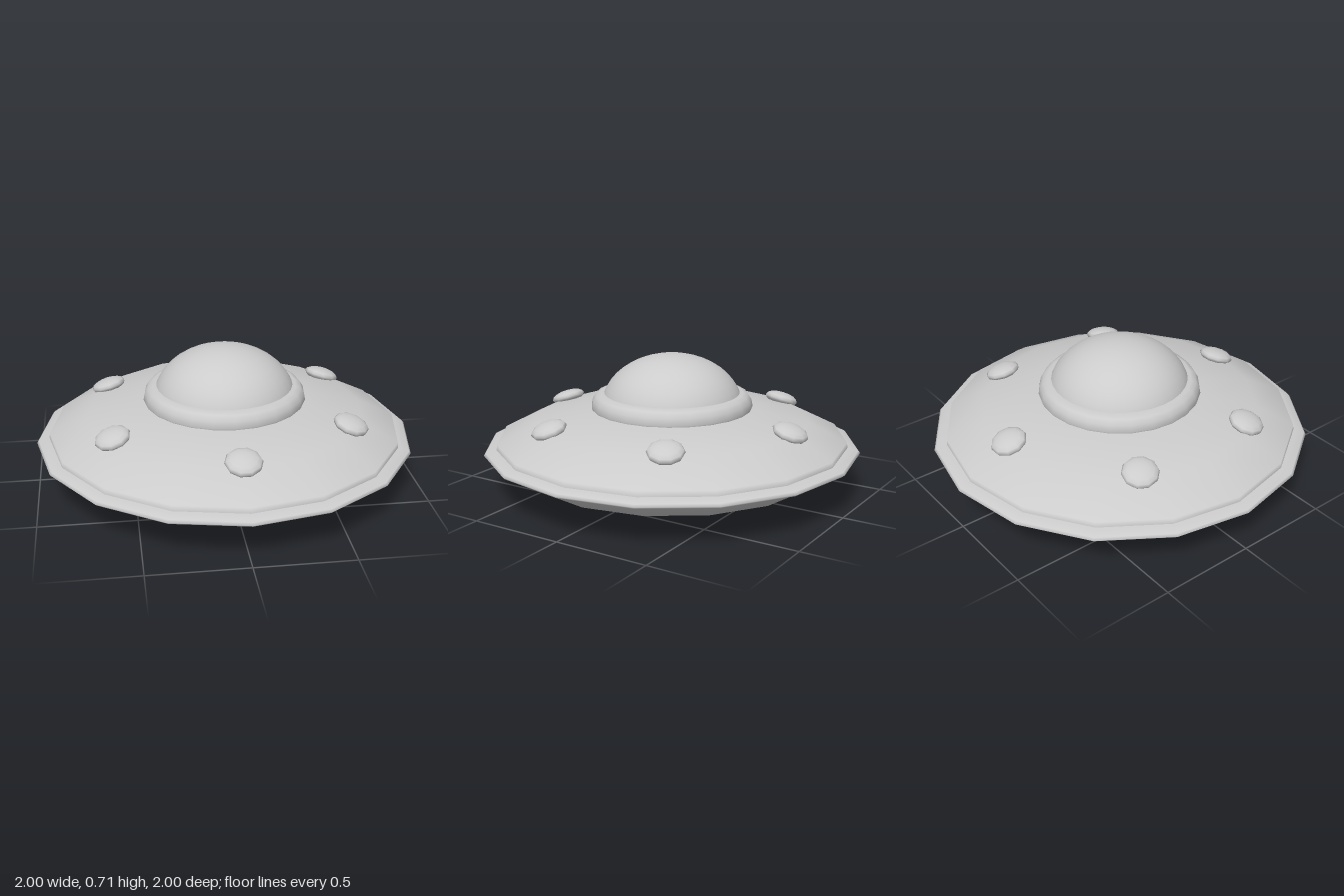
import * as THREE from 'three';

const material = new THREE.MeshStandardMaterial({ color: 0xcccccc });

function addMesh(parent, name, geometry) {
  const mesh = new THREE.Mesh(geometry, material);
  mesh.name = name;
  parent.add(mesh);
  return mesh;
}

// Profile runs from bottom to top as [radius, height] pairs
function lathe(profile, sides) {
  return new THREE.LatheGeometry(profile.map(([r, y]) => new THREE.Vector2(r, y)), sides);
}

export function createModel() {
  const saucer = new THREE.Group();
  saucer.name = 'saucer';

  // Lens-shaped body with 16 sides
  addMesh(saucer, 'hull', lathe([
    [0, 0], [0.2, 0.008], [0.53, 0.04], [0.8, 0.107], [0.93, 0.195],
    [0.935, 0.235], [0.93, 0.275], [0.73, 0.375], [0.45, 0.43], [0, 0.46],
  ], 16));

  // Thin flattened ring around the widest part
  addMesh(saucer, 'rim', lathe([
    [0.91, 0.192], [0.95, 0.199], [0.99, 0.212], [1, 0.222],
    [0.99, 0.234], [0.95, 0.245], [0.91, 0.25],
  ], 16));

  // Rounded collar carrying the dome
  addMesh(saucer, 'domeCollar', lathe([
    [0.42, 0.42], [0.43, 0.44], [0.423, 0.475], [0.405, 0.502], [0.38, 0.512], [0.34, 0.513],
  ], 24));

  // Upper half of a flattened sphere
  const dome = addMesh(saucer, 'dome',
    new THREE.SphereGeometry(1, 32, 12, 0, Math.PI * 2, 0, Math.PI / 2));
  dome.scale.set(0.377, 0.285, 0.377);
  dome.position.y = 0.43;

  // Six lamps lying on the sloping top of the hull
  const lampGeometry = new THREE.SphereGeometry(1, 10, 8);
  for (let i = 0; i < 6; i++) {
    const arm = new THREE.Group();
    arm.name = 'lampMount';
    arm.rotation.y = i * Math.PI / 3;
    const lamp = addMesh(arm, 'lamp', lampGeometry);
    lamp.scale.set(0.094, 0.037, 0.094);
    lamp.position.set(0, 0.392, 0.7);
    lamp.rotation.x = 0.32;
    saucer.add(arm);
  }
  return saucer;
}
